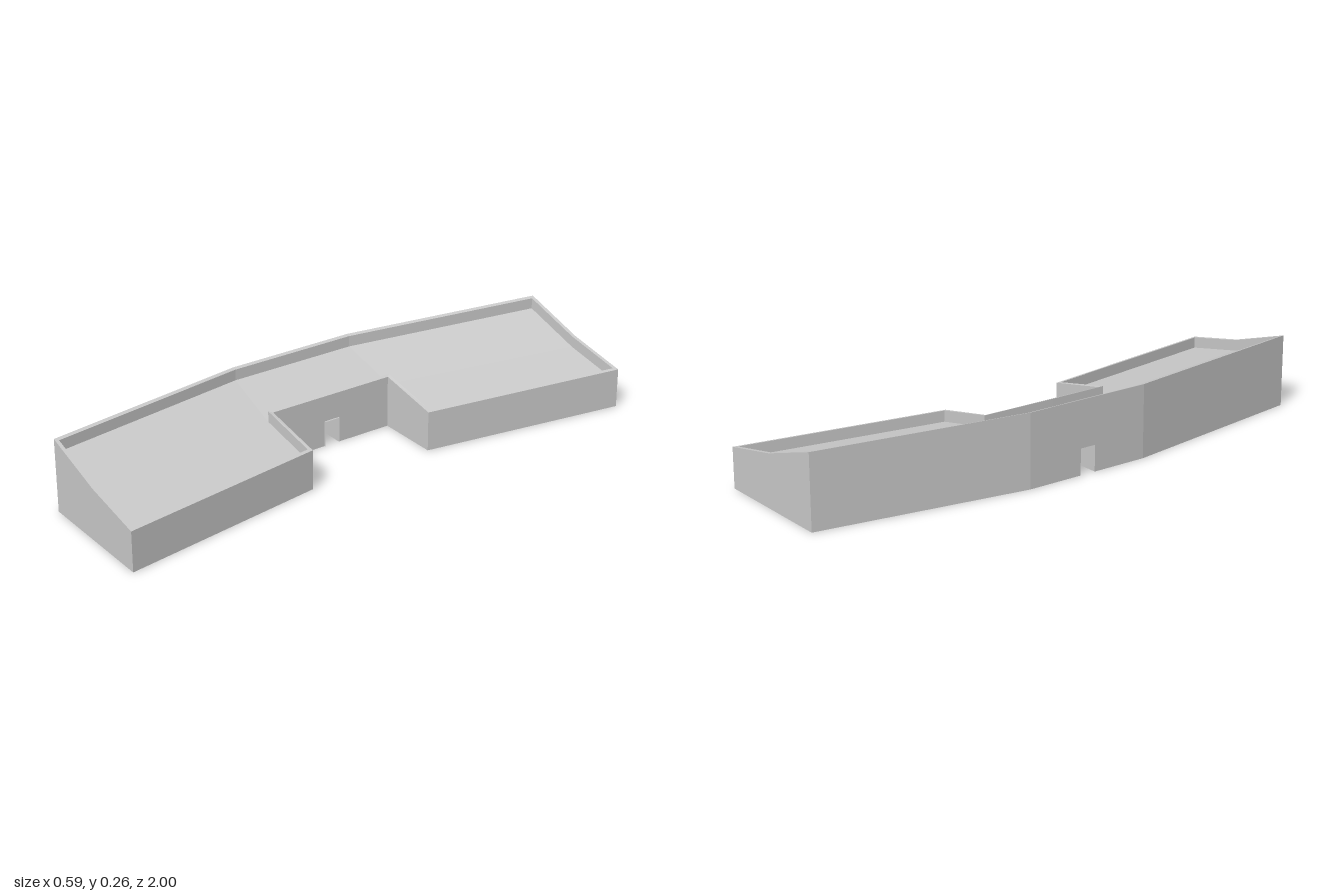
import * as THREE from 'three';

const BEND = 0.24, GATE = 0.03, GATE_H = 0.095, RIM = 0.013, PARAPET = 0.04;
const DEPTH = 0.475, CREASE = 0.243;

// u is the distance in from the long outer wall; the wings are sheared past the bend
const toX = (u, z) => -0.297 + u + 0.157 * Math.max(0, Math.abs(z) - BEND);
// the roof line falls in two slopes
const height = u => u < CREASE
  ? 0.265 - (u / CREASE) * 0.075
  : 0.19 - ((u - CREASE) / (DEPTH - CREASE)) * 0.045;

// flat-shaded mesh from four-cornered faces
function quadMesh(name, quads, side = THREE.FrontSide) {
  const pos = [];
  for (const [a, b, c, d] of quads) pos.push(...a, ...b, ...c, ...a, ...c, ...d);
  const geo = new THREE.BufferGeometry();
  geo.setAttribute('position', new THREE.Float32BufferAttribute(pos, 3));
  geo.computeVertexNormals();
  const mesh = new THREE.Mesh(geo, new THREE.MeshStandardMaterial({ color: 0xcccccc, flatShading: true, side }));
  mesh.name = name;
  return mesh;
}

// closed plan outline: one half plus its mirror image
const mirrored = half => [...half, ...half.map(([u, z]) => [u, -z]).reverse()];

export function createModel() {
  const group = new THREE.Group();
  group.name = 'building';

  const outer = mirrored([[0, GATE], [0, BEND], [0, 1], [CREASE, 1], [DEPTH, 1],
    [DEPTH, BEND], [CREASE, BEND], [CREASE, GATE]]);
  const r = RIM, e = 1 - RIM, n = BEND + RIM;
  const inner = mirrored([[r, GATE], [r, BEND], [r, e], [CREASE, e], [DEPTH - r, e],
    [DEPTH - r, n], [CREASE - r, n], [CREASE - r, GATE]]);
  const at = ([u, z], y) => [toX(u, z), y, z];
  const top = p => at(p, height(p[0]));
  const deck = p => at(p, height(p[0]) - PARAPET);

  // walls, parapet top and parapet inside, one strip around the outline
  const walls = [], rim = [], lining = [];
  outer.forEach((p, i) => {
    const j = (i + 1) % outer.length, q = outer[j], pi = inner[i], qi = inner[j];
    const overGate = Math.abs(p[1]) === GATE && Math.abs(q[1]) === GATE;
    const base = overGate ? GATE_H : 0;
    walls.push([at(p, base), at(q, base), top(q), top(p)]);
    rim.push([top(p), top(q), top(qi), top(pi)]);
    lining.push([deck(qi), deck(pi), top(pi), top(qi)]);
  });

  // panels of the plan by outline index
  const half = [[0, 1, 6, 7], [1, 2, 3, 6], [6, 3, 4, 5]];
  const panels = [...half, ...half.map(f => f.map(i => 15 - i).reverse())];
  const roof = [...panels, [0, 7, 8, 15]].map(f => f.map(i => deck(inner[i])));
  const floor = panels.map(f => f.map(i => at(outer[i], 0)).reverse());

  // gateway lining, standing slightly proud of the courtyard wall
  const x0 = toX(0, 0), x1 = toX(CREASE, 0) + 0.006;
  const gate = [1, -1].map(s => [[x0, 0, s * GATE], [x1, 0, s * GATE],
    [x1, GATE_H, s * GATE], [x0, GATE_H, s * GATE]]);
  gate.push([[x0, GATE_H, -GATE], [x1, GATE_H, -GATE], [x1, GATE_H, GATE], [x0, GATE_H, GATE]]);

  group.add(
    quadMesh('outerWalls', walls),
    quadMesh('parapetTop', rim),
    quadMesh('parapetInside', lining),
    quadMesh('roof', roof),
    quadMesh('floor', floor),
    quadMesh('gateway', gate, THREE.DoubleSide),
  );
  return group;
}
